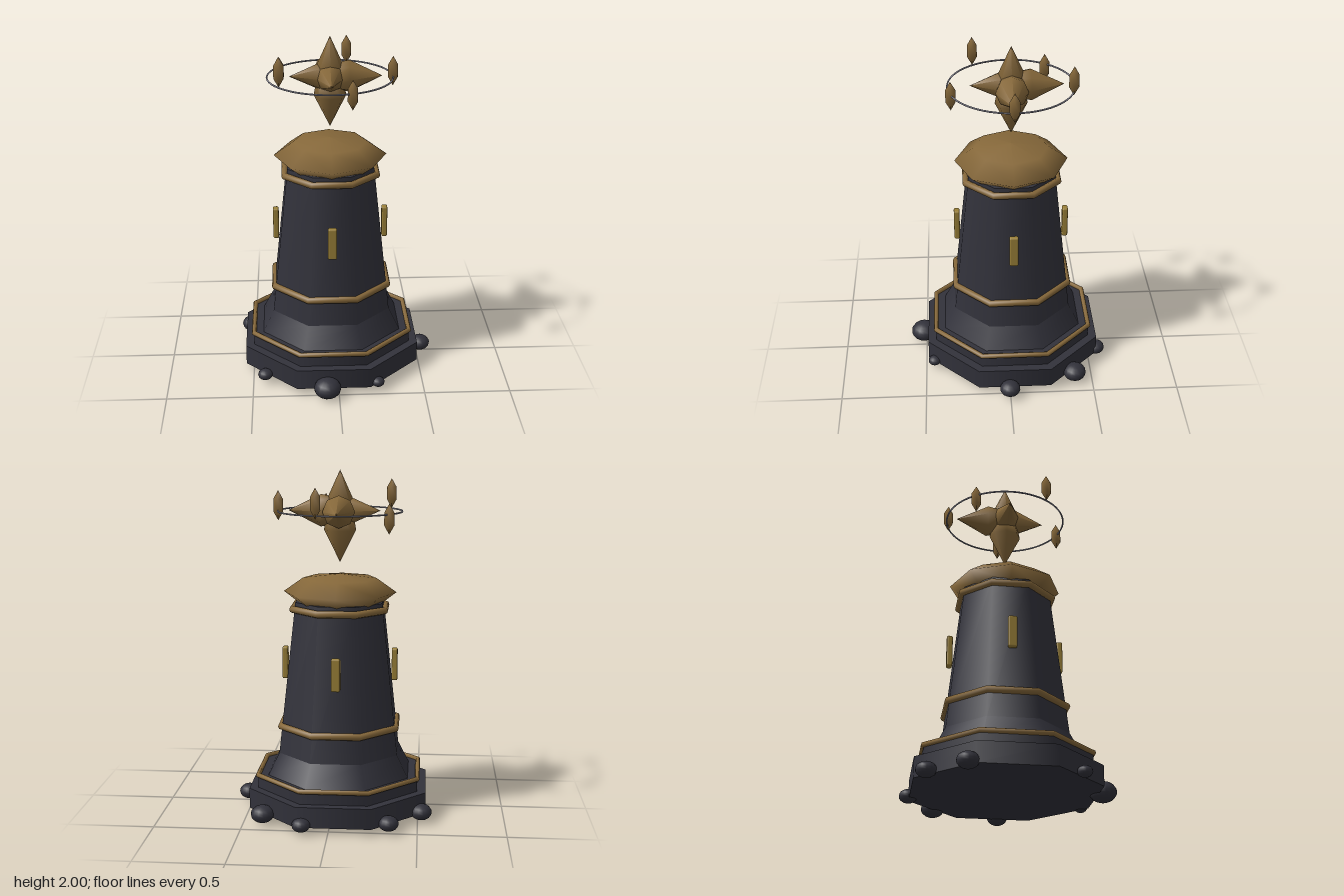
import * as THREE from 'three';
import { RoundedBoxGeometry } from 'three/addons/geometries/RoundedBoxGeometry.js';

const material = (name, color) => {
  const m = new THREE.MeshStandardMaterial({ color });
  m.name = name;
  return m;
};

export function createModel() {
  const stone = material('dark stone', 0x32323b);
  const gold = material('aged gold', 0x86683a);
  const glow = material('window gold', 0x9a8038);
  const silver = material('silver', 0x8a8a98);

  const model = new THREE.Group();
  model.name = 'obeliskTower';
  const tower = new THREE.Group();
  tower.name = 'tower';
  tower.position.set(-0.03, 0, -0.03);
  model.add(tower);

  const add = (parent, name, geometry, mat, x = 0, y = 0, z = 0) => {
    const mesh = new THREE.Mesh(geometry, mat);
    mesh.name = name;
    mesh.position.set(x, y, z);
    parent.add(mesh);
    return mesh;
  };
  const profile = (points, sides) =>
    new THREE.LatheGeometry(points.map(([r, y]) => new THREE.Vector2(r, y)), sides);

  // Octagonal tiers, given by the half widths across their flat sides
  const flat = Math.cos(Math.PI / 8);
  const tier = (name, bottom, top, y0, y1) => add(tower, name,
    new THREE.CylinderGeometry(top / flat, bottom / flat, y1 - y0, 8, 1, false, Math.PI / 8),
    stone, 0, (y0 + y1) / 2);
  tier('lowerPlinth', 0.515, 0.515, 0.04, 0.16);
  tier('upperPlinth', 0.465, 0.465, 0.16, 0.23);
  tier('shaftFoot', 0.408, 0.345, 0.23, 0.36);
  tier('shaft', 0.345, 0.25, 0.36, 1.25);

  // Gold bands
  for (const [name, radius, tube, y] of [
    ['plinthTrim', 0.503, 0.015, 0.235],
    ['lowerBand', 0.36, 0.021, 0.52],
    ['upperBand', 0.286, 0.021, 1.21],
  ]) {
    const ring = new THREE.TorusGeometry(radius, tube, 8, 8);
    ring.rotateZ(Math.PI / 8).rotateX(Math.PI / 2);
    add(tower, name, ring, gold, 0, y);
  }

  // Faceted cap, turned so its corners lie on the axes
  add(tower, 'cap', profile([[0, 1.24], [0.25, 1.24], [0.328, 1.3], [0.215, 1.38], [0, 1.405]], 8), gold);

  // Slit windows on four sides
  for (let i = 0; i < 4; i++) {
    const a = i * Math.PI / 2;
    const slit = add(tower, 'window', new RoundedBoxGeometry(0.052, 0.19, 0.034, 2, 0.01), glow,
      Math.sin(a) * 0.322, 0.875, Math.cos(a) * 0.322);
    slit.rotation.y = a;
  }

  // Floating star: three long and three short spikes around a core
  const star = new THREE.Group();
  star.name = 'star';
  star.position.y = 1.77;
  tower.add(star);
  add(star, 'starCore', new THREE.SphereGeometry(0.09, 8, 6), gold);
  const longSpike = profile([[0, 0], [0.075, 0.02], [0.093, 0.11], [0, 0.297]], 8);
  const shortSpike = profile([[0, 0.03], [0.08, 0.055], [0, 0.232]], 8);
  const up = new THREE.Vector3(0, 1, 0);
  for (const [x, y, z, geometry] of [
    [1, 0, 0, longSpike], [0, -1, 0, longSpike], [0, 0, -1, longSpike],
    [-1, 0, 0, shortSpike], [0, 1, 0, shortSpike], [0, 0, 1, shortSpike],
  ]) {
    add(star, 'spike', geometry, gold).quaternion.setFromUnitVectors(up, new THREE.Vector3(x, y, z));
  }

  // Thin orbit ring with five crystals
  add(tower, 'orbitRing', new THREE.TorusGeometry(0.357, 0.005, 6, 64).rotateX(Math.PI / 2), silver, 0, 1.767);
  const crystal = profile([[0, -0.086], [0.028, -0.036], [0.028, 0.036], [0, 0.086]], 4);
  [1.797, 1.76, 1.855, 1.742, 1.835].forEach((y, i) => {
    const a = i * Math.PI * 2 / 5;
    add(tower, 'crystal', crystal, gold, Math.cos(a) * 0.357, y, Math.sin(a) * 0.357);
  });

  // Boulders around the foot: x, z, radius
  for (const [x, z, r] of [
    [0.15, -0.548, 0.053], [-0.338, -0.485, 0.058], [0.388, -0.393, 0.068], [-0.52, -0.285, 0.062],
    [0.523, 0.003, 0.06], [-0.43, 0.34, 0.043], [0.23, 0.45, 0.038], [-0.068, 0.516, 0.079],
  ]) {
    add(model, 'boulder', new THREE.SphereGeometry(r, 14, 10), stone, x, 0.05 + r * 0.15, z).scale.y = 0.75;
  }

  return model;
}
